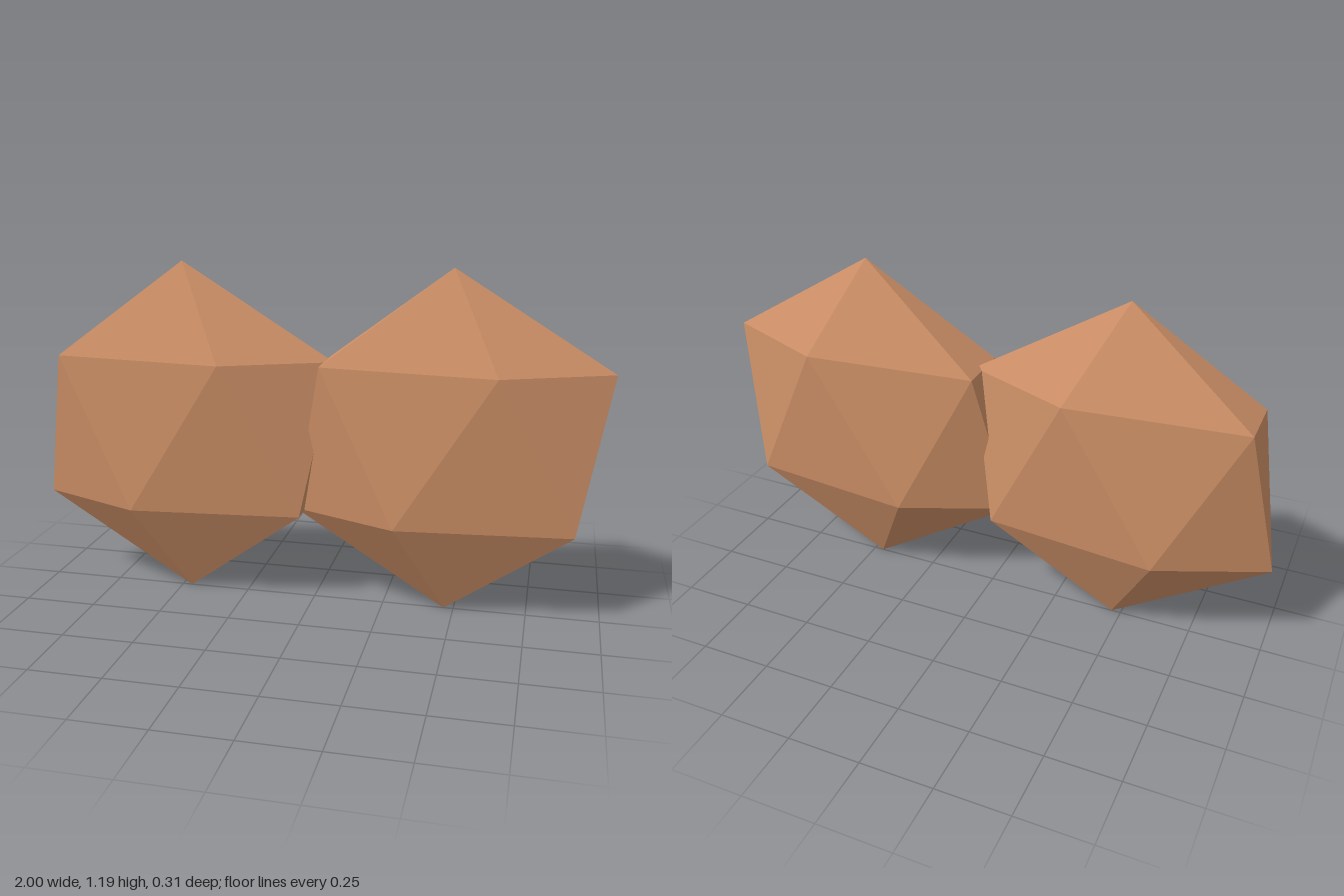
import * as THREE from 'three';
import { ConvexGeometry } from 'three/addons/geometries/ConvexGeometry.js';

const RADIUS = 0.597;      // vertical radius of each gem
const CENTER_X = 0.466;    // sideways offset of each gem
const DEPTH_SCALE = 0.306; // flattening along z

// Icosahedron standing on a vertex: two poles and two staggered rings of five.
function createGemGeometry() {
  const ringY = RADIUS / Math.sqrt(5);
  const ringR = 2 * ringY;
  const points = [new THREE.Vector3(0, RADIUS, 0), new THREE.Vector3(0, -RADIUS, 0)];
  for (let i = 0; i < 5; i++) {
    const a = (i * 2 * Math.PI) / 5;
    const x = ringR * Math.cos(a);
    const z = ringR * Math.sin(a);
    points.push(new THREE.Vector3(x, ringY, z), new THREE.Vector3(-x, -ringY, z));
  }
  const geometry = new ConvexGeometry(points);
  geometry.scale(1, 1, DEPTH_SCALE);
  geometry.computeVertexNormals();
  return geometry;
}

export function createModel() {
  const group = new THREE.Group();
  group.name = 'facetedPair';
  const material = new THREE.MeshStandardMaterial({ color: 0xcc8f66, flatShading: true });
  const geometry = createGemGeometry();

  // Two identical flattened gems, overlapping slightly in the middle
  for (const [name, side] of [['leftGem', 1], ['rightGem', -1]]) {
    const gem = new THREE.Mesh(geometry, material);
    gem.name = name;
    gem.position.set(side * CENTER_X, RADIUS, 0);
    group.add(gem);
  }
  return group;
}
